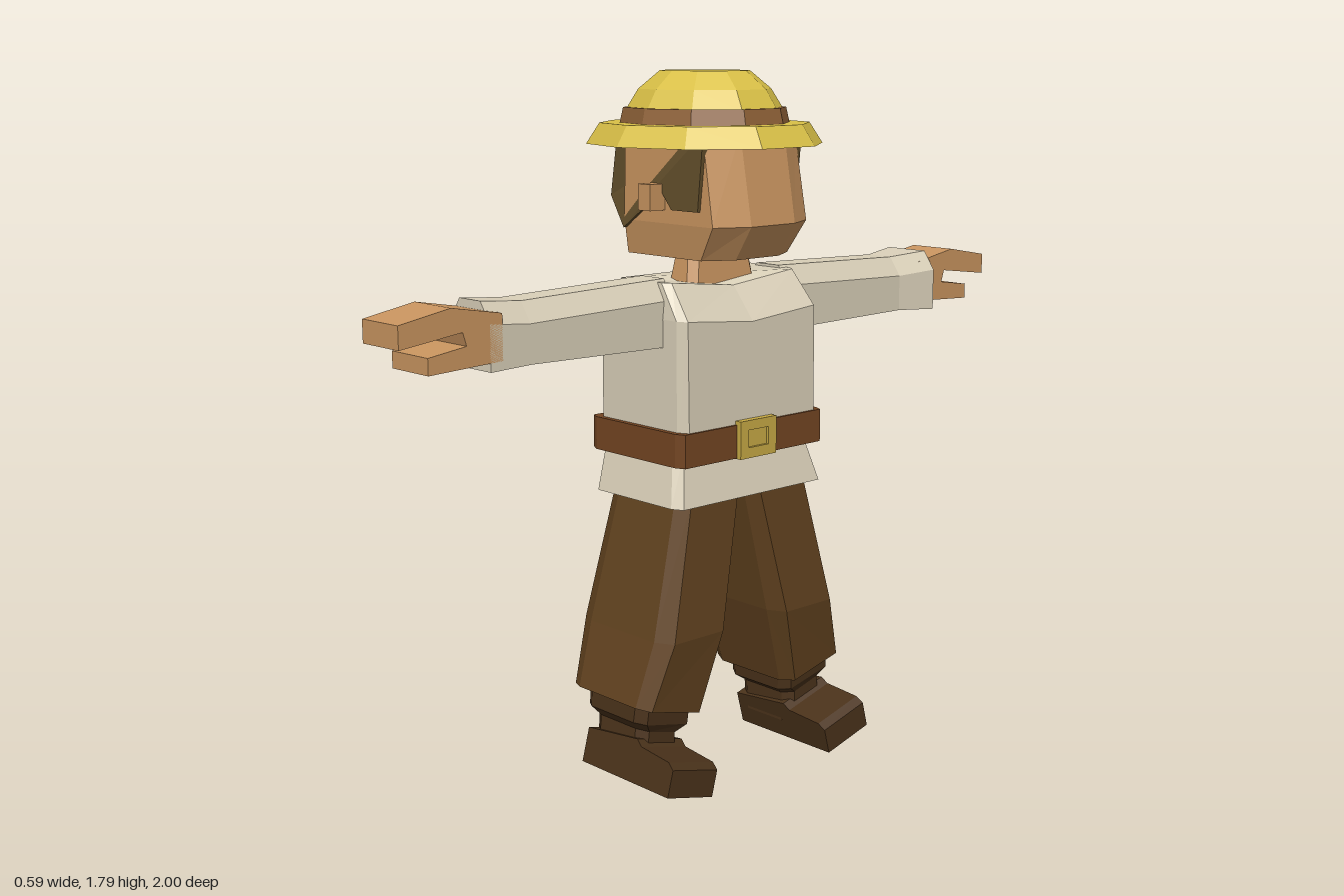
import * as THREE from 'three';

const SKIN = 0xc8945f, SHIRT = 0xd9cfb8, TROUSER = 0x61421f, BOOT = 0x4a321a, BELT = 0x734522;
const BRASS = 0xc8aa45, STRAW = 0xd9c047, BAND = 0x8f6238, HAIR = 0x64502c;

// Faceted copy of a closed geometry with its faces turned outward
function solid(source) {
  const geo = source.index ? source.toNonIndexed() : source;
  const p = geo.attributes.position;
  const a = new THREE.Vector3(), b = new THREE.Vector3(), c = new THREE.Vector3();
  let volume = 0;
  for (let i = 0; i < p.count; i += 3) {
    a.fromBufferAttribute(p, i);
    b.fromBufferAttribute(p, i + 1);
    c.fromBufferAttribute(p, i + 2);
    volume += a.dot(b.cross(c));
  }
  if (volume < 0) {
    for (let i = 0; i < p.count; i += 3) {
      b.fromBufferAttribute(p, i + 1);
      c.fromBufferAttribute(p, i + 2);
      p.setXYZ(i + 1, c.x, c.y, c.z);
      p.setXYZ(i + 2, b.x, b.y, b.z);
    }
  }
  geo.computeVertexNormals();
  return geo;
}

// Skin between rings of equal point count, closed at both ends
function loft(rings) {
  const n = rings[0].length, pos = rings.flat(2), idx = [];
  for (let r = 0; r < rings.length - 1; r++) {
    for (let i = 0; i < n; i++) {
      const a = r * n + i, b = r * n + (i + 1) % n;
      idx.push(a, b, b + n, a, b + n, a + n);
    }
  }
  const last = (rings.length - 1) * n;
  for (let i = 1; i < n - 1; i++) {
    idx.push(0, i + 1, i, last, last + i, last + i + 1);
  }
  const geo = new THREE.BufferGeometry();
  geo.setAttribute('position', new THREE.Float32BufferAttribute(pos, 3));
  geo.setIndex(idx);
  return geo;
}

// Prism of an (x, y) outline between two depths
function prism(points, z0, z1, hole) {
  const shape = new THREE.Shape(points.map(q => new THREE.Vector2(...q)));
  if (hole) shape.holes.push(new THREE.Path(hole.map(q => new THREE.Vector2(...q))));
  return new THREE.ExtrudeGeometry(shape, { depth: z1 - z0, bevelEnabled: false }).translate(0, 0, z0);
}

// Prism of a (z, y) side outline between two x positions
function sidePrism(points, x0, x1) {
  return prism(points.map(([z, y]) => [-z, y]), x0, x1).rotateY(Math.PI / 2);
}

const rect = (w, y0, y1) => [[-w, y0], [w, y0], [w, y1], [-w, y1]];

// Level ring with a chamfered front; the centre may sit lower than the sides
function bodyRing(y, w, back, side, front, dip = 0) {
  return [[-w, y, back], [-w, y, side], [-w + 0.015, y, front], [0, y - dip, front],
    [w - 0.015, y, front], [w, y, side], [w, y, back], [0, y - dip, back]];
}

// Chamfered ring whose inner and outer edges can differ in height
function limbRing(x0, y0, x1, y1, z0, z1, cx, cz) {
  const outline = [[x0 + cx, z0], [x1 - cx, z0], [x1, z0 + cz], [x1, z1 - cz],
    [x1 - cx, z1], [x0 + cx, z1], [x0, z1 - cz], [x0, z0 + cz]];
  return outline.map(([x, z]) => [x, y0 + (y1 - y0) * (x - x0) / (x1 - x0), z]);
}

// Six-sided sleeve section; flare widens its depth
function sleeveRing(x, y0, y1, flare = 0) {
  return [[-0.06 - flare, y0], [0.09 + flare, y0], [0.09 + flare, y1 - 0.05],
    [0.055 + flare, y1], [-0.025 - flare, y1], [-0.06 - flare, y1 - 0.05]].map(([z, y]) => [x, y, z]);
}

export function createModel() {
  const model = new THREE.Group();
  const figure = new THREE.Group();
  figure.name = 'figure';
  model.add(figure);

  function add(name, geo, color) {
    const mesh = new THREE.Mesh(solid(geo), new THREE.MeshStandardMaterial({ color, flatShading: true }));
    mesh.name = name;
    figure.add(mesh);
  }
  function addPair(name, make, color) {
    add('left' + name, make(1), color);
    add('right' + name, make(-1).scale(-1, 1, 1), color);
  }

  // Hat: ten-sided brim, band and dome
  function hatPart(name, profile, color) {
    const geo = new THREE.LatheGeometry(profile.map(q => new THREE.Vector2(...q)), 10);
    add(name, geo.rotateY(Math.PI / 2).scale(1, 1, 1.07).translate(-0.01, 0, 0), color);
  }
  hatPart('hatBrim', [[0, 1.66], [0.2, 1.65], [0.291, 1.615], [0.258, 1.667], [0, 1.667]], STRAW);
  hatPart('hatBand', [[0, 1.66], [0.21, 1.66], [0.2, 1.705], [0, 1.705]], BAND);
  hatPart('hatDome', [[0, 1.7], [0.193, 1.7], [0.163, 1.75], [0.11, 1.795], [0, 1.795]], STRAW);

  // Head, tapering to the jaw
  const headRing = (y, w, zf) => [[-w, y, -0.135], [-w, y, zf - 0.045], [-0.075, y, zf],
    [0.075, y, zf], [w, y, zf - 0.045], [w, y, -0.135]];
  add('head', loft([headRing(1.34, 0.15, 0.18), headRing(1.425, 0.162, 0.235), headRing(1.65, 0.158, 0.195)]), SKIN);

  // Hair over the sides and back, narrowed behind
  const hair = sidePrism([[0.165, 1.65], [0.145, 1.46], [0.05, 1.46], [0, 1.52], [-0.05, 1.46],
    [-0.13, 1.405], [-0.228, 1.478], [-0.2, 1.65]], -0.17, 0.17);
  const hp = hair.attributes.position;
  for (let i = 0; i < hp.count; i++) if (hp.getZ(i) < -0.15) hp.setX(i, hp.getX(i) * 0.75);
  add('hair', hair, HAIR);
  addPair('Ear', () => new THREE.BoxGeometry(0.06, 0.065, 0.045).translate(0.18, 1.49, -0.005), SKIN);

  // Neck
  add('neck', loft([limbRing(-0.12, 1.24, 0.12, 1.24, -0.04, 0.07, 0.02, 0.02),
    limbRing(-0.1, 1.36, 0.1, 1.36, -0.025, 0.055, 0.02, 0.02)]), SKIN);

  // Shirt body and flared hem
  add('shirtBody', loft([bodyRing(0.85, 0.235, -0.14, 0.14, 0.17), bodyRing(1.2, 0.235, -0.14, 0.14, 0.165, 0.02),
    bodyRing(1.288, 0.225, -0.075, 0.075, 0.095, 0.023)]), SHIRT);
  add('shirtHem', loft([bodyRing(0.735, 0.255, -0.14, 0.14, 0.17),
    bodyRing(0.87, 0.222, -0.14, 0.11, 0.135)]), SHIRT);

  // Belt with a framed buckle
  add('belt', loft([0.84, 0.925].map(y => limbRing(-0.25, y, 0.25, y, -0.175, 0.175, 0.012, 0.025))), BELT);
  add('buckleFrame', prism(rect(0.063, 0.838, 0.935), 0.16, 0.188, rect(0.035, 0.865, 0.91)), BRASS);
  add('bucklePlate', prism(rect(0.036, 0.864, 0.911), 0.16, 0.18), BRASS);

  // Sleeves, one with a wider cuff
  addPair('Sleeve', side => loft([sleeveRing(0.2, 1.13, 1.295), sleeveRing(0.64, 1.137, 1.282),
    sleeveRing(0.755, 1.132, 1.292, side > 0 ? 0.025 : 0)]), SHIRT);

  // Hands: fingers above, thumb below
  addPair('Hand', () => prism([[0.72, 1.265], [0.86, 1.29], [1, 1.265], [1, 1.21], [0.83, 1.232],
    [0.82, 1.2], [0.925, 1.185], [0.925, 1.145], [0.72, 1.155]], -0.05, 0.09), SKIN);

  // Baggy trouser legs
  addPair('TrouserLeg', () => loft([limbRing(0.155, 0.185, 0.355, 0.235, -0.145, 0.155, 0.02, 0.04),
    limbRing(0.09, 0.4, 0.305, 0.4, -0.165, 0.18, 0.025, 0.05),
    limbRing(0.015, 0.76, 0.215, 0.76, -0.135, 0.152, 0.02, 0.04)]), TROUSER);

  // Boots: shaft and foot tilted outward
  addPair('BootShaft', () => loft([limbRing(0.2, 0.05, 0.335, 0.09, -0.08, 0.11, 0.02, 0.03),
    limbRing(0.2, 0.13, 0.325, 0.165, -0.085, 0.11, 0.02, 0.03),
    limbRing(0.17, 0.15, 0.345, 0.19, -0.1, 0.125, 0.02, 0.03),
    limbRing(0.165, 0.21, 0.34, 0.25, -0.1, 0.13, 0.02, 0.03)]), BOOT);
  addPair('BootFoot', () => sidePrism([[-0.085, 0], [0.245, 0], [0.245, 0.07], [0.225, 0.085],
    [0.12, 0.095], [0.1, 0.11], [-0.085, 0.09]], 0, 0.155).rotateZ(0.26).translate(0.215, 0, 0), BOOT);

  // The figure looks along +x with its arms spread along z
  figure.rotation.y = Math.PI / 2;
  return model;
}
